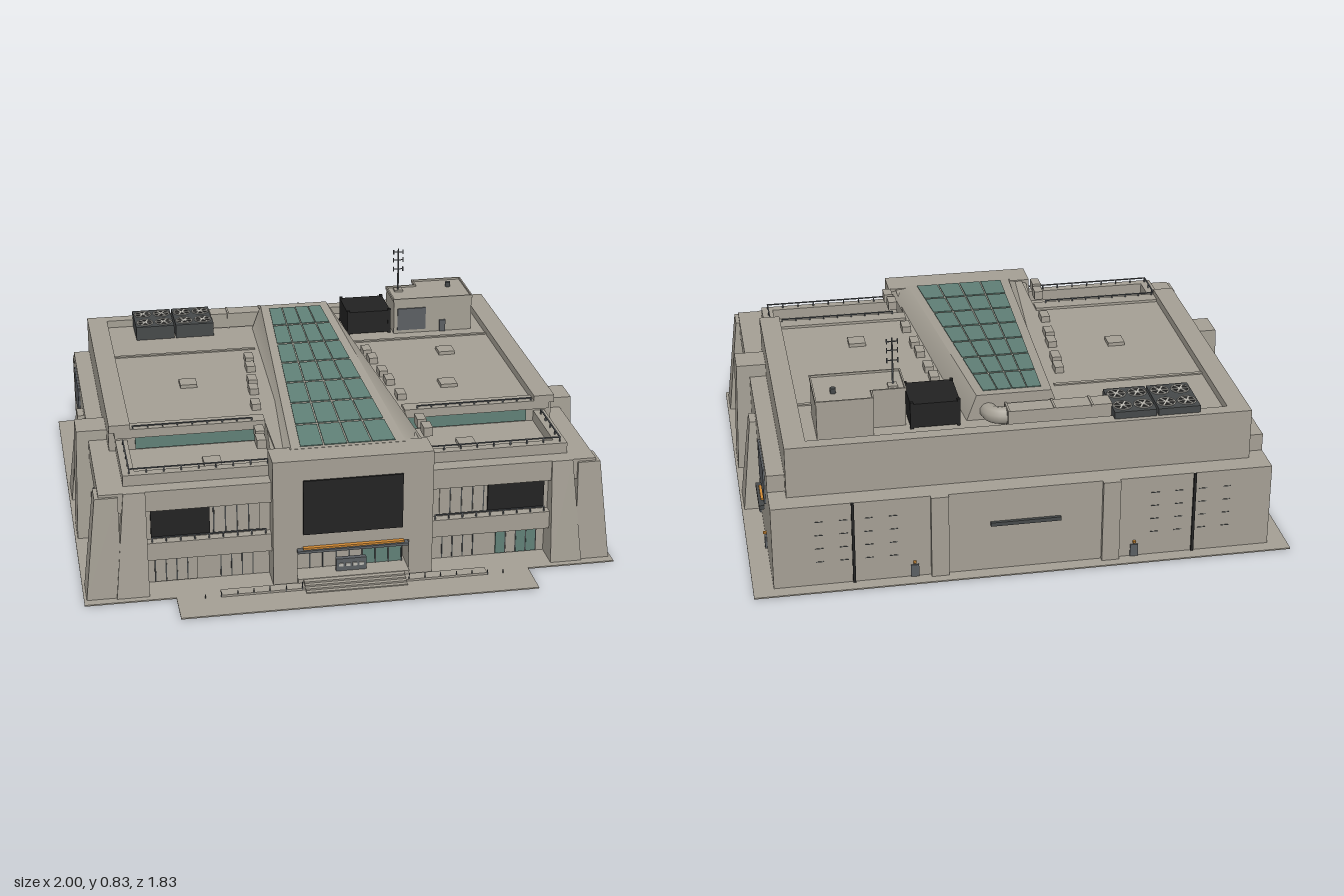
import * as THREE from 'three';

const make = (name, color) => Object.assign(new THREE.MeshStandardMaterial({ color }), { name });

export function createModel() {
  const stone = make('stone', 0xa39e93), glass = make('glass', 0x5f7f76), black = make('black', 0x222222);
  const slate = make('slate', 0x5a5e62), dark = make('darkMetal', 0x454849), orange = make('orange', 0xd08a35);
  const floorGreen = make('floorGreen', 0x2f7a60), pale = make('paleMetal', 0xb9b7b0);
  const root = new THREE.Group();
  root.name = 'building';

  const add = (name, geo, mat) => {
    const m = new THREE.Mesh(geo, mat);
    m.name = name;
    root.add(m);
    return m;
  };
  // Box between limits on each axis
  const box = (name, mat, x0, x1, y0, y1, z0, z1) => {
    const m = add(name, new THREE.BoxGeometry(Math.abs(x1 - x0), y1 - y0, z1 - z0), mat);
    m.position.set((x0 + x1) / 2, (y0 + y1) / 2, (z0 + z1) / 2);
    return m;
  };
  // Box whose corners (u, v, w in 0..1) are moved by a rule
  const warp = (name, mat, rule) => {
    const g = new THREE.BoxGeometry(1, 1, 1), p = g.attributes.position;
    for (let i = 0; i < p.count; i++) p.setXYZ(i, ...rule(p.getX(i) + 0.5, p.getY(i) + 0.5, p.getZ(i) + 0.5));
    g.computeVertexNormals();
    return add(name, g, mat);
  };
  const mix = THREE.MathUtils.lerp;
  // Tapered block from a bottom to a top rectangle [x0, x1, z0, z1], mirrored by s
  const taper = (name, mat, s, b, t, y0, y1) => {
    const flip = r => (s > 0 ? r : [-r[1], -r[0], r[2], r[3]]);
    const B = flip(b), T = flip(t);
    return warp(name, mat, (u, v, w) => [mix(mix(B[0], B[1], u), mix(T[0], T[1], u), v), mix(y0, y1, v),
      mix(mix(B[2], B[3], w), mix(T[2], T[3], w), v)]);
  };
  // Railing between two points: top bar and posts
  const railing = (x0, z0, x1, z1, y, h, n) => {
    const t = 0.0025;
    box('railBar', slate, Math.min(x0, x1) - t, Math.max(x0, x1) + t, y + h - 0.004, y + h, Math.min(z0, z1) - t, Math.max(z0, z1) + t);
    for (let i = 0; i <= n; i++) {
      const x = mix(x0, x1, i / n), z = mix(z0, z1, i / n);
      box('railPost', slate, x - t, x + t, y, y + h, z - t, z + t);
    }
  };

  // Ground slab, plaza and underside
  box('groundSlab', stone, -1, 1, 0.001, 0.006, -0.92, 0.755);
  box('plaza', stone, -0.665, 0.665, 0.001, 0.006, 0.755, 0.91);
  box('underside', floorGreen, -0.92, 0.92, 0, 0.0015, -0.86, 0.64);

  // Main volumes
  box('rearBlock', stone, -0.925, 0.925, 0.005, 0.333, -0.868, -0.2);
  box('sideWalls', stone, -0.925, 0.925, 0.2, 0.4, -0.74, 0.1);
  box('upperBlock', stone, -0.86, 0.86, 0.2, 0.5, -0.79, 0.31);
  box('groundFloor', stone, -0.87, 0.87, 0.005, 0.14, -0.2, 0.62);
  box('lowerSlab', stone, -0.93, 0.93, 0.13, 0.2, -0.2, 0.685);
  box('middleFloor', stone, -0.87, 0.87, 0.2, 0.335, 0.1, 0.65);
  box('upperSlab', stone, -0.93, 0.93, 0.33, 0.41, 0.1, 0.685);
  box('centralSpine', stone, -0.27, 0.27, 0.4, 0.5, 0.3, 0.63);

  // Roof parapets
  box('rearParapet', stone, -0.86, 0.86, 0.5, 0.53, -0.79, -0.74);
  for (const s of [-1, 1]) {
    box('sideParapet', stone, s * 0.86, s * 0.78, 0.5, 0.53, -0.74, 0.35);
    box('roofBeam', stone, s * 0.2, s * 0.78, 0.498, 0.505, -0.405, -0.39);
    box('clerestory', glass, s * 0.28, s * 0.76, 0.415, 0.47, 0.31, 0.318);
    box('clerestoryCornice', stone, s * 0.27, s * 0.84, 0.475, 0.51, 0.29, 0.35);
    box('terraceSideParapet', stone, s * 0.835, s * 0.79, 0.41, 0.452, 0.31, 0.625);
    box('terraceFrontParapet', stone, s * 0.29, s * 0.835, 0.41, 0.452, 0.59, 0.625);
    railing(s * 0.3, 0.608, s * 0.81, 0.608, 0.452, 0.02, 8);
    railing(s * 0.81, 0.35, s * 0.81, 0.608, 0.452, 0.02, 4);
    railing(s * 0.32, 0.34, s * 0.77, 0.34, 0.51, 0.012, 8);
    railing(s * 0.32, 0.675, s * 0.74, 0.675, 0.2, 0.02, 8);
    railing(s * 0.92, 0.22, s * 0.92, 0.58, 0.2, 0.02, 6);
    for (const z of [-0.27, -0.18, -0.04, 0.05, 0.2, 0.45, 0.53]) {
      const x = 0.225 + (z + 0.27) * 0.09;
      box('roofVent', stone, s * x, s * (x + 0.035), 0.49, 0.525, z - 0.03, z + 0.03);
    }
  }
  for (const [x, z, y] of [[-0.515, -0.065, 0.5], [0.565, -0.23, 0.5], [0.495, 0.105, 0.5], [-0.49, 0.48, 0.41], [0.48, 0.48, 0.41]])
    box('roofHatch', stone, x - 0.033, x + 0.033, y, y + 0.014, z - 0.033, z + 0.033);

  // Buttresses
  for (const s of [-1, 1]) {
    taper('frontButtress', stone, s, [0.76, 0.88, 0.6, 0.73], [0.76, 0.84, 0.6, 0.69], 0.005, 0.41);
    taper('cornerButtress', stone, s, [0.86, 0.99, 0.59, 0.72], [0.86, 0.945, 0.6, 0.695], 0.005, 0.4);
    taper('tallButtress', stone, s, [0.85, 0.99, 0.065, 0.22], [0.85, 0.975, 0.08, 0.2], 0.005, 0.45);
    taper('sideButtress', stone, s, [0.9, 0.99, -0.275, -0.125], [0.9, 0.95, -0.23, -0.155], 0.005, 0.36);
    box('rearPilaster', stone, s * 0.285, s * 0.35, 0.005, 0.333, -0.886, -0.86);
  }

  // Entrance portal: frame around a recessed doorway
  for (const s of [-1, 1]) box('portalPier', stone, s * 0.21, s * 0.3, 0.005, 0.505, 0.6, 0.722);
  box('portalHead', stone, -0.21, 0.21, 0.15, 0.505, 0.6, 0.722);
  box('mainScreen', black, -0.188, 0.185, 0.207, 0.425, 0.722, 0.73);
  box('doorCanopy', slate, -0.212, 0.206, 0.138, 0.148, 0.7, 0.745);
  box('canopyLight', orange, -0.19, 0.19, 0.149, 0.156, 0.722, 0.738);
  box('entranceFloor', stone, -0.21, 0.21, 0.005, 0.03, 0.62, 0.74);
  for (let i = 0; i < 8; i++) {
    const x = -0.2 + i * 0.05;
    box('entranceDoor', i > 4 ? glass : stone, x, x + 0.045, 0.03, 0.136, 0.62, 0.655);
    box('doorFrame', dark, x + 0.045, x + 0.05, 0.03, 0.136, 0.62, 0.658);
  }
  box('ticketGate', slate, -0.06, 0.055, 0.03, 0.08, 0.68, 0.7);
  for (let i = 0; i < 4; i++) box('gateLight', pale, -0.05 + i * 0.026, -0.033 + i * 0.026, 0.05, 0.062, 0.7, 0.704);
  for (let i = 0; i < 4; i++) box('step', stone, -0.19, 0.19, 0.005, 0.028 - i * 0.006, 0.72, 0.76 + i * 0.016);
  for (const s of [-1, 1]) {
    box('rampWall', stone, s * 0.19, s * 0.5, 0.005, 0.014, 0.735, 0.78);
    for (let i = 0; i < 7; i++)
      box('handrailPost', slate, s * (0.2 + i * 0.06), s * (0.203 + i * 0.06), 0.005, 0.04 - i * 0.003, 0.777, 0.78);
  }

  // Front wing screens, panels and doors
  for (const s of [-1, 1]) {
    box('wingScreen', black, s * 0.525, s * 0.742, 0.21, 0.325, 0.65, 0.66);
    for (let i = 0; i < 4; i++) {
      const x = 0.34 + i * 0.043;
      box('wingPanel', stone, s * x, s * (x + 0.038), 0.21, 0.325, 0.65, 0.656);
      box('panelJoint', dark, s * (x + 0.038), s * (x + 0.043), 0.21, 0.325, 0.65, 0.653);
    }
    for (let i = 0; i < 4; i++) {
      const x = 0.57 + i * 0.04, y = 0.36 + i * 0.04;
      box('wingDoor', s > 0 && i % 3 !== 1 ? glass : stone, s * x, s * (x + 0.035), 0.01, 0.11, 0.62, 0.627);
      box('wingDoorJoint', dark, s * (x + 0.035), s * (x + 0.04), 0.01, 0.11, 0.62, 0.625);
      box('wallJoint', dark, s * y, s * (y + 0.004), 0.01, 0.11, 0.62, 0.624);
    }
    // Side doors with lit signs, and upper side windows
    for (const [z, mat] of [[0.5, glass], [0.28, glass], [-0.03, stone]]) {
      box('sideDoorFrame', dark, s * 0.87, s * 0.873, 0.01, 0.113, z - 0.075, z + 0.075);
      for (let i = 0; i < 4; i++)
        box('sideDoor', i === 1 || i === 2 ? mat : stone, s * 0.87, s * 0.877, 0.01, 0.11, z - 0.073 + i * 0.037, z - 0.038 + i * 0.037);
      box('doorSign', orange, s * 0.87, s * 0.89, 0.115, 0.122, z - 0.06, z + 0.06);
    }
    box('upperSideWindow', glass, s * 0.87, s * 0.876, 0.215, 0.322, 0.25, 0.56);

    // Rear side wall details
    box('wallScreen', slate, s * 0.925, s * 0.932, 0.23, 0.373, -0.64, -0.4);
    if (s > 0) {
      box('sideCanopy', dark, 0.925, 0.945, 0.134, 0.15, -0.51, -0.33);
      box('sideCanopyLight', orange, 0.925, 0.935, 0.152, 0.159, -0.47, -0.365);
      for (const z of [-0.29, -0.565]) {
        box('serviceDoor', slate, 0.925, 0.933, 0.006, 0.055, z - 0.015, z + 0.015);
        box('serviceLamp', orange, 0.925, 0.938, 0.062, 0.07, z - 0.005, z + 0.005);
      }
    } else {
      for (const z of [-0.62, -0.44]) box('loadingDoor', dark, -0.925, -0.932, 0.02, 0.105, z - 0.07, z + 0.07);
    }

    // Back wall details
    box('drainPipe', black, s * 0.627, s * 0.637, 0.005, 0.333, -0.876, -0.865);
    box('backDoor', slate, s * 0.395, s * 0.425, 0.006, 0.055, -0.874, -0.865);
    box('backLamp', orange, s * 0.405, s * 0.415, 0.062, 0.07, -0.877, -0.865);
    for (let r = 0; r < 4; r++) for (let c = 0; c < 4; c++) {
      const x = 0.47 + c * 0.09;
      box('wallSlot', dark, s * x, s * (x + 0.03), 0.1 + r * 0.055, 0.1025 + r * 0.055, -0.87, -0.865);
    }
  }
  box('backCanopy', dark, -0.13, 0.13, 0.19, 0.205, -0.88, -0.865);

  // Tapering skylight ridge with a grid of panes
  const ridgeY = t => mix(0.506, 0.6, t), ridgeZ = t => mix(0.62, -0.63, t);
  warp('skylightRidge', stone, (u, v, w) => {
    const t = 1 - w, half = v > 0.5 ? mix(0.215, 0.14, t) : mix(0.29, 0.18, t);
    return [half * (2 * u - 1), v > 0.5 ? ridgeY(t) : 0.49, ridgeZ(t)];
  });
  for (let r = 0; r < 7; r++) for (let c = 0; c < 4; c++)
    warp('skylightPane', glass, (u, v, w) => {
      const t = 0.008 + (r + 0.03 + (1 - w) * 0.93) * 0.138, half = mix(0.182, 0.108, t);
      return [half * ((c + 0.03 + u * 0.94) / 2 - 1), ridgeY(t) + v * 0.004 - 0.001, ridgeZ(t)];
    });

  // Rooftop cooling units with fans
  for (const x0 of [-0.67, -0.505]) {
    box('coolingUnit', dark, x0, x0 + 0.158, 0.5, 0.557, -0.77, -0.575);
    for (const dx of [0.04, 0.118]) for (const z of [-0.72, -0.623]) {
      const ring = add('fanRing', new THREE.TorusGeometry(0.033, 0.003, 6, 20), pale);
      ring.rotation.x = Math.PI / 2;
      ring.position.set(x0 + dx, 0.559, z);
      const disc = add('fanWell', new THREE.CylinderGeometry(0.033, 0.033, 0.003, 20), black);
      disc.position.set(x0 + dx, 0.557, z);
      for (let k = 0; k < 3; k++) {
        const blade = add('fanBlade', new THREE.BoxGeometry(0.062, 0.002, 0.008), pale);
        blade.position.set(x0 + dx, 0.56, z);
        blade.rotation.y = k * Math.PI / 3;
      }
    }
  }

  // Air duct with an elbow
  box('airDuct', stone, -0.35, 0.04, 0.505, 0.567, -0.715, -0.645);
  for (const x of [-0.28, -0.14, 0.03]) box('ductCollar', stone, x, x + 0.008, 0.503, 0.57, -0.718, -0.642);
  const elbow = new THREE.CatmullRomCurve3([[0.03, -0.68], [0.065, -0.675], [0.09, -0.655], [0.1, -0.6]].map(([x, z]) => new THREE.Vector3(x, 0.536, z)));
  add('ductElbow', new THREE.TubeGeometry(elbow, 12, 0.032, 10), stone);

  // Water tank, penthouse and mast
  box('tank', black, 0.205, 0.388, 0.505, 0.6, -0.66, -0.48);
  for (const x of [0.21, 0.383]) for (const z of [-0.655, -0.485]) box('tankPost', black, x - 0.006, x + 0.006, 0.5, 0.607, z - 0.006, z + 0.006);
  box('penthouse', stone, 0.525, 0.732, 0.5, 0.645, -0.685, -0.465);
  box('penthouseAnnex', stone, 0.4, 0.53, 0.5, 0.645, -0.625, -0.465);
  const outline = [[0.4, -0.465], [0.732, -0.465], [0.732, -0.685], [0.525, -0.685], [0.525, -0.625], [0.4, -0.625]];
  outline.forEach(([x, z], i) => {
    const [a, b] = outline[(i + 1) % 6];
    box('penthouseRim', stone, Math.min(x, a) - 0.003, Math.max(x, a) + 0.003, 0.64, 0.653, Math.min(z, b) - 0.003, Math.max(z, b) + 0.003);
  });
  box('penthouseLouvre', slate, 0.415, 0.535, 0.515, 0.61, -0.465, -0.459);
  box('penthouseDoor', slate, 0.595, 0.62, 0.5, 0.55, -0.465, -0.458);
  box('penthouseHatch', stone, 0.425, 0.46, 0.645, 0.653, -0.605, -0.57);
  add('roofCowl', new THREE.CylinderGeometry(0.011, 0.011, 0.02, 10), dark).position.set(0.662, 0.655, -0.605);
  add('mast', new THREE.CylinderGeometry(0.003, 0.004, 0.19, 6), slate).position.set(0.44, 0.74, -0.58);
  for (const y of [0.745, 0.785, 0.82]) {
    box('mastArm', slate, 0.42, 0.46, y - 0.0015, y + 0.0015, -0.582, -0.578);
    for (const x of [0.42, 0.46]) box('mastAerial', slate, x - 0.002, x + 0.002, y - 0.01, y + 0.01, -0.582, -0.578);
  }
  return root;
}
